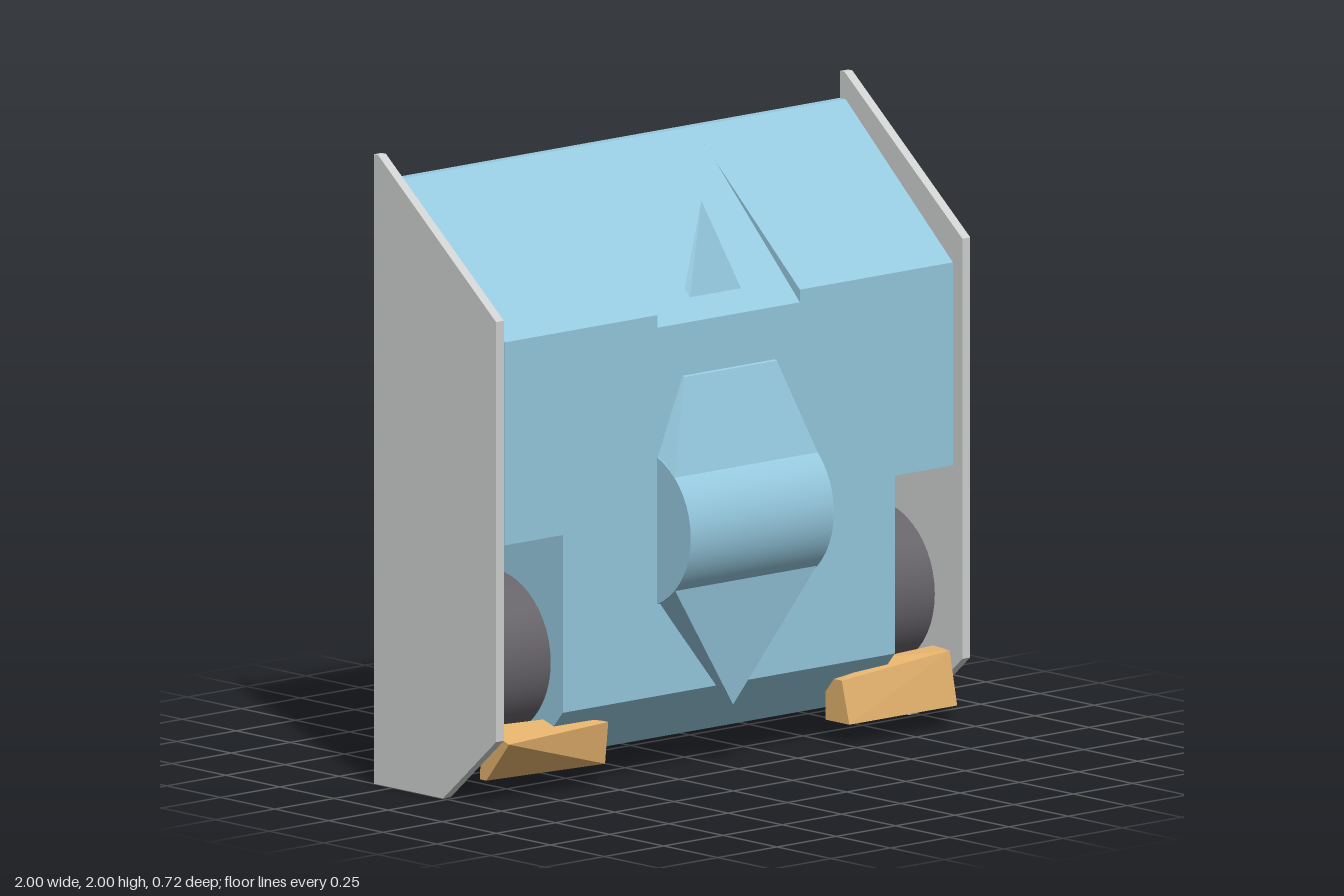
import * as THREE from 'three';
import { ConvexGeometry } from 'three/addons/geometries/ConvexGeometry.js';

const material = (name, color) => {
  const m = new THREE.MeshStandardMaterial({ color });
  m.name = name;
  return m;
};

export function createModel() {
  const group = new THREE.Group();
  const blue = material('light blue', 0x96cae0);
  const grey = material('light grey', 0xd0d2d2);
  const rubber = material('dark grey', 0x67646a);
  const orange = material('orange', 0xe4b26c);

  const add = (name, geometry, mat) => {
    const mesh = new THREE.Mesh(geometry, mat);
    mesh.name = name;
    group.add(mesh);
    return mesh;
  };
  const shapeOf = (pts) => new THREE.Shape(pts.map(([a, b]) => new THREE.Vector2(a, b)));
  // Side profile given as [z, y], extruded from x0 to x1
  const slab = (name, pts, x0, x1, mat) => {
    const g = new THREE.ExtrudeGeometry(shapeOf(pts), { depth: x1 - x0, bevelEnabled: false });
    g.rotateY(-Math.PI / 2).translate(x1, 0, 0);
    return add(name, g, mat);
  };
  const hull = (name, pts, mat) =>
    add(name, new ConvexGeometry(pts.map((p) => new THREE.Vector3(...p))), mat);
  const mirrored = (pts) => pts.flatMap(([x, y, z]) => [[x, y, z], [-x, y, z]]);
  // Cylinder lying along x
  const roller = (name, r, x0, x1, y, z, mat) => {
    const g = new THREE.CylinderGeometry(r, r, x1 - x0, 48);
    g.rotateZ(Math.PI / 2).translate((x0 + x1) / 2, y, z);
    return add(name, g, mat);
  };

  // Upper body: two sides with a sloped roof, and a recessed centre roof panel
  const side = [[-0.29, 0.83], [0.205, 0.83], [0.205, 1.475], [-0.29, 1.92]];
  const centre = [[-0.29, 0.83], [0.205, 0.83], [0.205, 1.435], [-0.19, 1.83], [-0.29, 1.92]];
  slab('bodyRight', side, -0.945, -0.3, blue);
  slab('bodyCentre', centre, -0.3, 0.3, blue);
  slab('bodyLeft', side, 0.3, 0.945, blue);

  // Narrow lower body with a chamfered belly
  slab('lowerBody', [[-0.29, 0.83], [-0.29, 0.2], [-0.32, 0.2], [-0.21, 0.04],
    [0.06, 0.095], [0.205, 0.265], [0.205, 0.83]], -0.7, 0.7, blue);

  // Back panel with a small slot
  const back = shapeOf([[-0.7, 0.2], [0.7, 0.2], [0.7, 0.83], [0.945, 0.83],
    [0.945, 1.92], [-0.945, 1.92], [-0.945, 0.83], [-0.7, 0.83]]);
  back.holes.push(new THREE.Path([[-0.07, 0.745], [-0.07, 0.795], [0.07, 0.795], [0.07, 0.745]]
    .map(([x, y]) => new THREE.Vector2(x, y))));
  add('backPanel', new THREE.ExtrudeGeometry(back, { depth: 0.03, bevelEnabled: false })
    .translate(0, 0, -0.32), blue);

  // Front blister: drum with a taper above and a point below
  roller('frontDrum', 0.253, -0.302, 0.302, 0.79, 0.107, blue);
  hull('drumUpperTaper', mirrored([[0.302, 0.97, 0.285], [0.302, 1.02, 0.2], [0.302, 0.97, 0.2],
    [0.195, 1.27, 0.2], [0.195, 1.265, 0.213]]), blue);
  hull('drumLowerPoint', [...mirrored([[0.302, 0.615, 0.285], [0.302, 0.57, 0.2], [0.302, 0.615, 0.2]]),
    [0, 0.2, 0.2], [0, 0.2, 0.225]], blue);

  // Roof spike
  hull('roofSpike', [...mirrored([[0.11, 1.49, 0.145], [0.11, 1.515, 0.12]]),
    [0, 1.565, 0.072], [0, 1.78, 0.078]], blue);

  // Side plates and wheels
  const plate = [[0.225, 1.55], [-0.32, 2], [-0.34, 2], [-0.34, 0], [-0.02, 0], [0.225, 0.215]];
  for (const s of [-1, 1]) {
    const tag = s > 0 ? 'Left' : 'Right';
    const span = (a, b) => (s > 0 ? [a, b] : [-b, -a]);
    slab('sidePlate' + tag, plate, ...span(0.967, 1), grey);
    roller('wheel' + tag, 0.26, ...span(0.71, 0.91), 0.42, -0.1, rubber);
    roller('hub' + tag, 0.135, ...span(0.695, 0.925), 0.42, -0.1, rubber);
    roller('axle' + tag, 0.028, ...span(0.69, 0.945), 0.42, -0.1, rubber);
  }

  // Front wedges: one leans back, the other is undercut
  hull('wedgeLeft', [
    [0.49, 0.07, 0.115], [0.945, 0.07, 0.115], [0.49, 0.07, 0.225], [0.945, 0.07, 0.225],
    [0.49, 0.205, 0.115], [0.945, 0.245, 0.115], [0.49, 0.205, 0.19], [0.945, 0.24, 0.19],
    [0.7, 0.238, 0.12]], orange);
  hull('wedgeRight', [
    [-0.49, 0.07, 0.09], [-0.945, 0.07, 0.09], [-0.49, 0.07, 0.17], [-0.945, 0.07, 0.12],
    [-0.49, 0.205, 0.1], [-0.945, 0.238, 0.1], [-0.49, 0.205, 0.185], [-0.945, 0.2, 0.225],
    [-0.6, 0.228, 0.12]], orange);

  return group;
}
